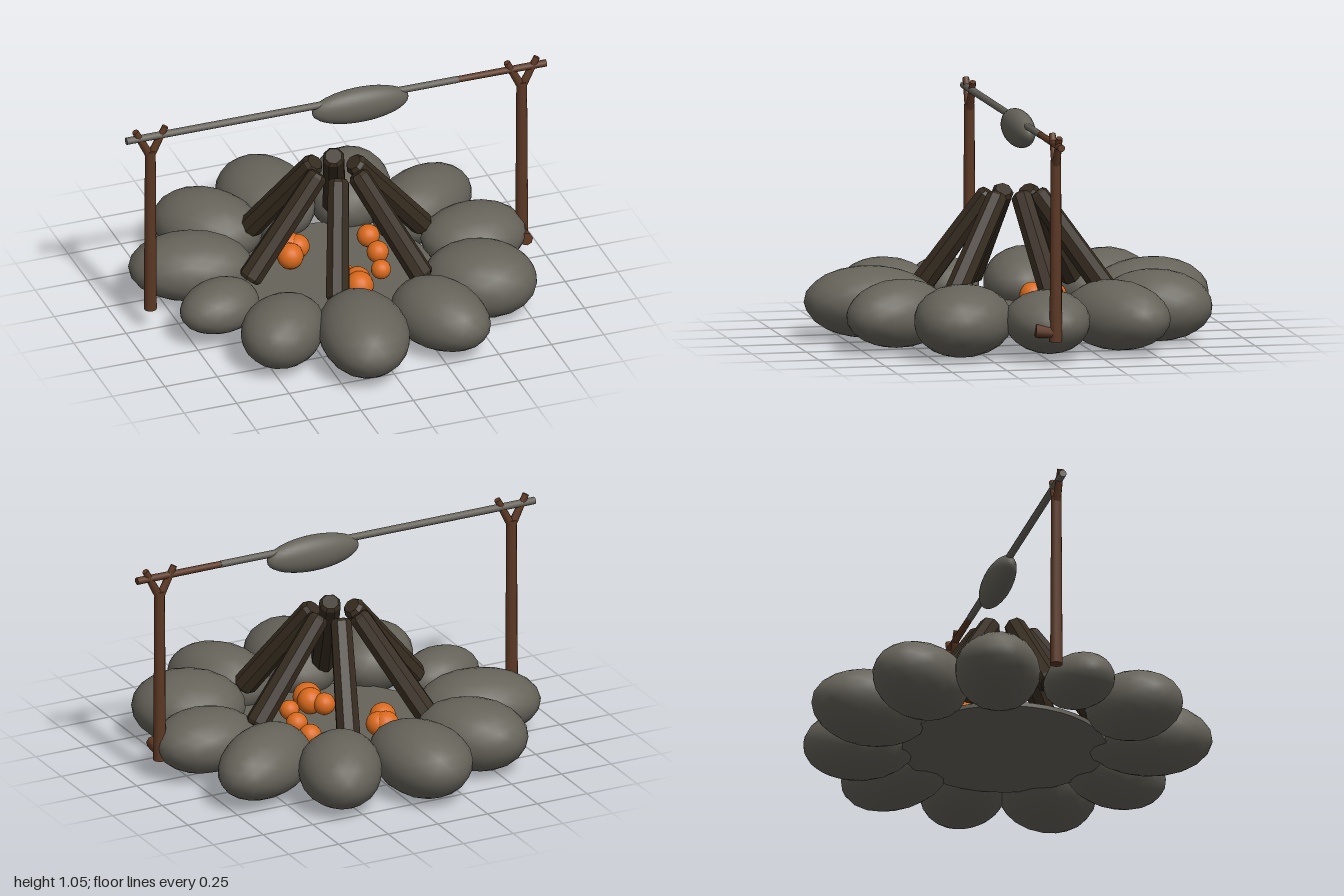
import * as THREE from 'three';
import { mergeVertices } from 'three/addons/utils/BufferGeometryUtils.js';

const mat = (name, color) => {
  const m = new THREE.MeshStandardMaterial({ color });
  m.name = name;
  return m;
};

export function createModel() {
  const stone = mat('stone grey', 0x66635a);
  const bark = mat('dark bark', 0x352b1f);
  const wood = mat('brown wood', 0x5c3824);
  const glow = mat('ember orange', 0xd9691c);
  const group = new THREE.Group();

  const add = (name, geometry, material, parent = group) => {
    const mesh = new THREE.Mesh(geometry, material);
    mesh.name = name;
    parent.add(mesh);
    return mesh;
  };

  // Tapered round bar between two points
  const bar = (name, from, to, rFrom, rTo, material, sides = 8, parent = group) => {
    const a = new THREE.Vector3(...from), b = new THREE.Vector3(...to);
    const dir = b.clone().sub(a);
    const mesh = add(name, new THREE.CylinderGeometry(rTo, rFrom, dir.length(), sides), material, parent);
    mesh.position.copy(a).add(b).multiplyScalar(0.5);
    mesh.quaternion.setFromUnitVectors(new THREE.Vector3(0, 1, 0), dir.normalize());
    return mesh;
  };

  // Smooth, slightly lumpy boulder of unit radius
  const boulder = (seed) => {
    let g = new THREE.IcosahedronGeometry(1, 3);
    g.deleteAttribute('normal');
    g.deleteAttribute('uv');
    g = mergeVertices(g, 1e-4);
    const p = g.attributes.position, v = new THREE.Vector3();
    for (let i = 0; i < p.count; i++) {
      v.fromBufferAttribute(p, i);
      const lump = Math.sin(v.x * 3.1 + seed) + Math.sin(v.y * 3.7 + seed * 2.3) + Math.sin(v.z * 3.3 + seed * 1.7);
      v.multiplyScalar(1 + 0.012 * lump);
      p.setXYZ(i, v.x, v.y, v.z);
    }
    g.computeVertexNormals();
    return g;
  };

  // Ring of stones: x, z, radial half length, half width, half height
  const ring = new THREE.Group();
  ring.name = 'stoneRing';
  group.add(ring);
  [
    [-0.10, -0.64, 0.28, 0.205, 0.165], [0.28, -0.59, 0.266, 0.188, 0.16],
    [0.54, -0.36, 0.28, 0.185, 0.16], [0.66, -0.01, 0.24, 0.19, 0.145],
    [0.56, 0.35, 0.262, 0.22, 0.16], [0.28, 0.59, 0.259, 0.18, 0.155],
    [-0.10, 0.63, 0.29, 0.205, 0.165], [-0.43, 0.48, 0.235, 0.18, 0.15],
    [-0.62, 0.18, 0.195, 0.15, 0.115], [-0.62, -0.20, 0.275, 0.19, 0.155],
    [-0.43, -0.50, 0.26, 0.2, 0.16],
  ].forEach(([x, z, a, b, h], i) => {
    const s = add('ringStone', boulder(i * 1.9), stone, ring);
    s.position.set(x, 0.17, z);
    s.scale.set(a, h, b);
    s.rotation.y = Math.atan2(-z, x);
  });

  // Hearth floor
  add('hearthFloor', new THREE.CylinderGeometry(0.46, 0.46, 0.02, 40), stone).position.y = 0.1;

  // Leaning logs with bevelled ends
  const logProfile = [[0, -0.5], [0.045, -0.5], [0.056, -0.47], [0.05, 0.47], [0.038, 0.5], [0, 0.5]]
    .map(([r, y]) => new THREE.Vector2(r, y));
  const logMesh = (top, foot) => {
    const a = new THREE.Vector3(foot[0], 0.22, foot[1]);
    const b = new THREE.Vector3(top[0], 0.66, top[1]);
    const dir = b.clone().sub(a);
    const g = new THREE.LatheGeometry(logProfile, 8).toNonIndexed();
    g.computeVertexNormals();
    const m = add('log', g, bark);
    m.position.copy(a).add(b).multiplyScalar(0.5);
    m.scale.y = dir.length();
    m.quaternion.setFromUnitVectors(new THREE.Vector3(0, 1, 0), dir.normalize());
  };
  [
    [[0.07, 0.08], [0.29, 0.34]], [[-0.025, 0.1], [-0.14, 0.4]], [[-0.09, 0.02], [-0.45, 0.09]],
  ].forEach(([top, foot]) => {
    logMesh(top, foot);
    logMesh(top.map((n) => -n), foot.map((n) => -n));
  });

  // Embers: x, z, radius
  [
    [-0.14, -0.22, 0.06], [-0.17, -0.13, 0.06], [-0.11, -0.2, 0.055], [0.22, -0.18, 0.052],
    [0.17, 0.12, 0.045], [0.04, 0.17, 0.06], [0.03, 0.22, 0.065], [0.21, -0.03, 0.05], [0, 0.11, 0.05],
  ].forEach(([x, z, r]) => {
    add('ember', new THREE.SphereGeometry(r, 16, 12), glow).position.set(x, 0.165, z);
  });

  // Forked posts
  [-1, 1].forEach((side) => {
    const post = new THREE.Group();
    post.name = side > 0 ? 'leftPost' : 'rightPost';
    post.position.x = side * 0.885;
    group.add(post);
    bar('postShaft', [0, 0.11, 0], [0, 0.93, 0], 0.029, 0.024, wood, 10, post);
    [-1, 1].forEach((s) => bar('forkProng', [0, 0.9, 0], [s * 0.072, 1.04, 0], 0.02, 0.015, wood, 8, post));
    if (side > 0) bar('twigStub', [0, 0.15, 0], [-0.01, 0.16, 0.09], 0.025, 0.03, wood, 8, post);
  });

  // Spit: grey rod with a brown handle end
  bar('spitRod', [-1, 1, 0], [0.58, 1, 0], 0.017, 0.016, stone, 10);
  bar('spitHandle', [0.56, 1, 0], [1, 1, 0], 0.015, 0.017, wood, 10);

  // Food on the spit
  const food = add('spitFood', new THREE.SphereGeometry(1, 28, 18), stone);
  food.position.set(0.115, 0.965, 0);
  food.scale.set(0.23, 0.084, 0.062);

  return group;
}
